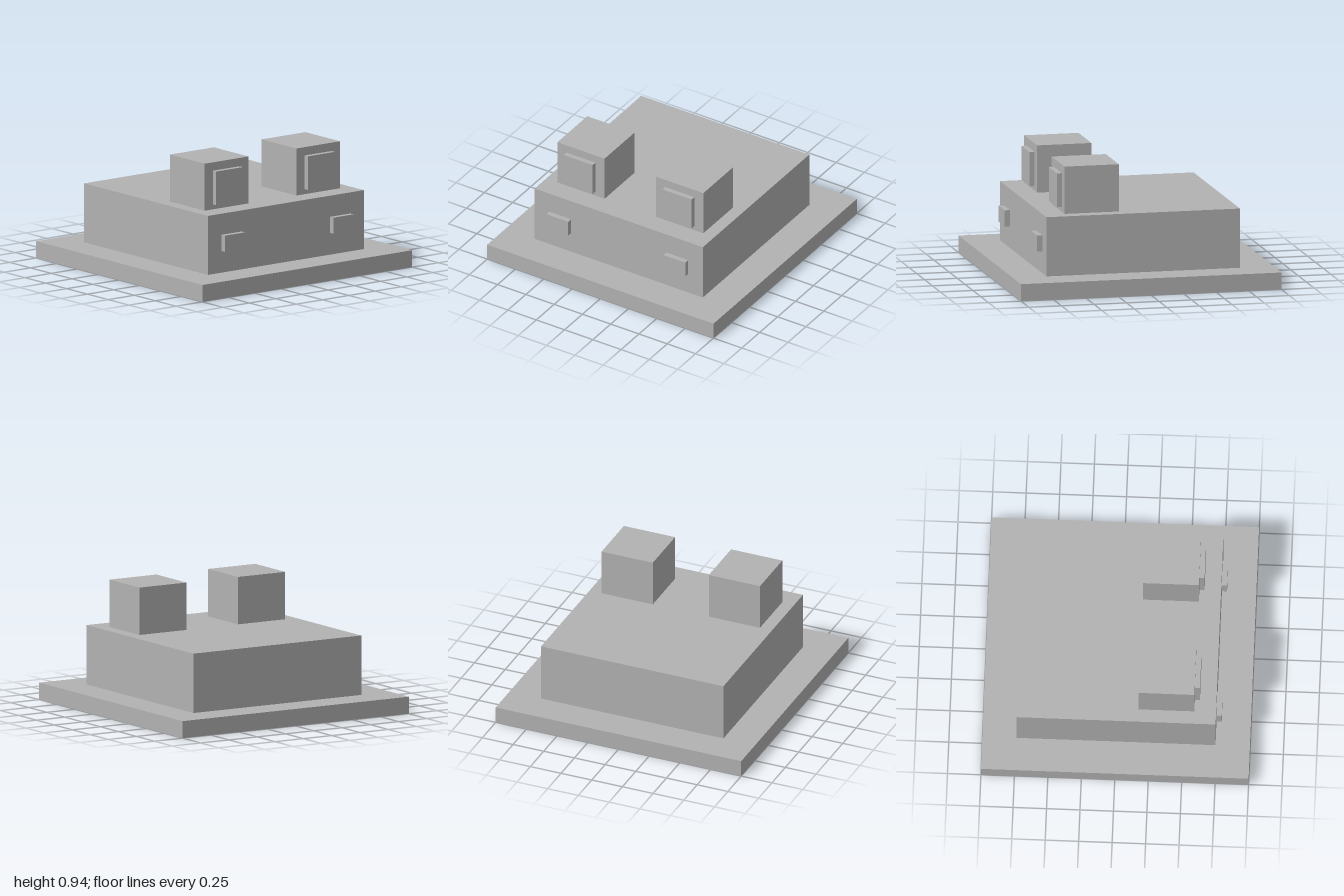
import * as THREE from 'three';

export function createModel() {
  const model = new THREE.Group();
  const grey = new THREE.MeshStandardMaterial({ color: 0xb2b2b2 });
  grey.name = 'grey';

  // Box given by its minimum and maximum corners
  function addBox(name, [x0, y0, z0], [x1, y1, z1]) {
    const mesh = new THREE.Mesh(new THREE.BoxGeometry(x1 - x0, y1 - y0, z1 - z0), grey);
    mesh.position.set((x0 + x1) / 2, (y0 + y1) / 2, (z0 + z1) / 2);
    mesh.name = name;
    model.add(mesh);
  }

  // The same box on the left (+x) and right (-x)
  function addPair(name, [x0, y0, z0], [x1, y1, z1]) {
    addBox(name + 'Left', [x0, y0, z0], [x1, y1, z1]);
    addBox(name + 'Right', [-x1, y0, z0], [-x0, y1, z1]);
  }

  // Wide base slab and head block
  addBox('base', [-1, 0, -1], [1, 0.129, 1]);
  addBox('head', [-0.743, 0.129, -0.743], [0.743, 0.579, 0.743]);

  // Eye cubes with raised pupils, and nostrils on the head front
  addPair('eye', [0.228, 0.579, 0.164], [0.645, 0.938, 0.581]);
  addPair('pupil', [0.308, 0.617, 0.581], [0.566, 0.874, 0.62]);
  addPair('nostril', [0.421, 0.295, 0.743], [0.614, 0.418, 0.784]);

  return model;
}
